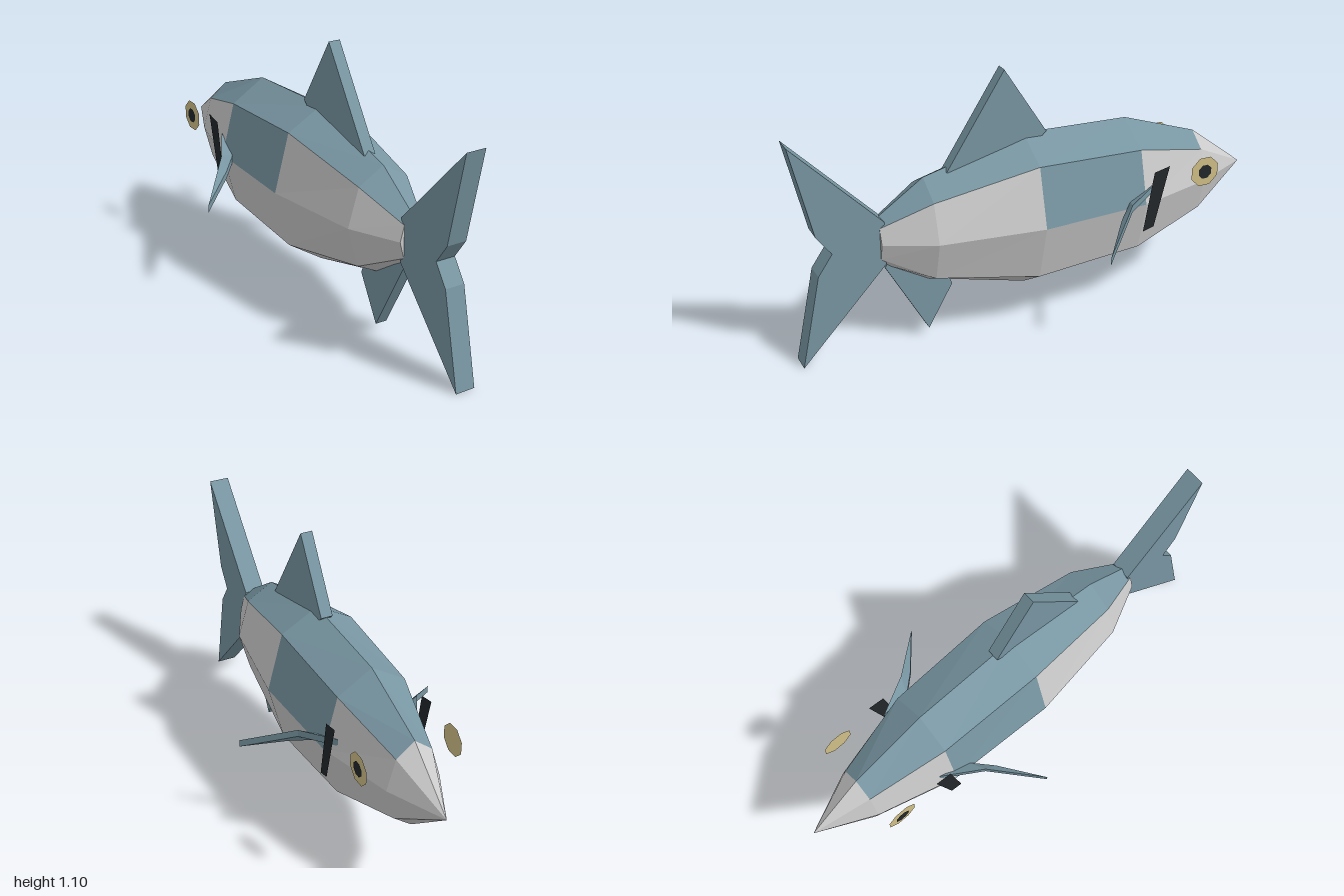
import * as THREE from 'three';

const GREY = 0xcccccc, BLUE = 0x7896a2, BLACK = 0x22272b, GOLD = 0xd2c088;
const MID = 0.475;

function material(color, side = THREE.FrontSide) {
  return new THREE.MeshStandardMaterial({ color, side, flatShading: true });
}

function part(name, geometry, mat) {
  const mesh = new THREE.Mesh(geometry, mat);
  mesh.name = name;
  return mesh;
}

function fromTriangles(points) {
  const g = new THREE.BufferGeometry();
  g.setAttribute('position', new THREE.Float32BufferAttribute(points.flat(), 3));
  g.computeVertexNormals();
  return g;
}

// Outline given as [z, y] pairs
function outline(pairs) {
  return new THREE.Shape(pairs.map(([z, y]) => new THREE.Vector2(z, y)));
}

// Flat slab standing in the z-y plane, centred on x = 0
function slab(pairs, thickness) {
  const g = new THREE.ExtrudeGeometry(outline(pairs), { depth: thickness, bevelEnabled: false });
  return g.translate(0, 0, -thickness / 2).rotateY(-Math.PI / 2);
}

// Eight-sided body lofted nose to tail: blue back, pale flanks and belly
function addBody(group) {
  // z, top y, upper corner y, lower corner y, bottom y, side x, corner x
  const stations = [
    [-1, MID, MID, MID, MID, 0, 0],
    [-0.76, 0.665, 0.605, 0.335, 0.28, 0.112, 0.075],
    [-0.43, 0.785, 0.695, 0.255, 0.168, 0.2, 0.143],
    [0.03, 0.805, 0.718, 0.23, 0.13, 0.218, 0.154],
    [0.46, 0.7, 0.634, 0.306, 0.25, 0.157, 0.11],
    [0.66, 0.565, 0.54, 0.405, 0.37, 0.06, 0.042],
  ];
  const rings = stations.map(([z, top, up, low, bottom, side, corner]) => [
    [0, top, z], [corner, up, z], [side, MID, z], [corner, low, z],
    [0, bottom, z], [-corner, low, z], [-side, MID, z], [-corner, up, z],
  ]);
  const pale = [], blue = [];
  for (let i = 0; i < rings.length - 1; i++) {
    for (let j = 0; j < 8; j++) {
      const k = (j + 1) % 8;
      const a = rings[i][j], b = rings[i][k], c = rings[i + 1][k], d = rings[i + 1][j];
      const onBack = (j === 0 || j === 7) && i > 0;
      const flankPatch = (j === 1 || j === 6) && i === 2;
      const target = onBack || flankPatch ? blue : pale;
      target.push(a, d, c);
      if (i > 0) target.push(a, c, b);
    }
  }
  // Closing face at the tail root
  const last = rings[rings.length - 1];
  for (let j = 1; j < 7; j++) pale.push(last[0], last[j + 1], last[j]);
  group.add(part('body', fromTriangles(pale), material(GREY)));
  group.add(part('back', fromTriangles(blue), material(BLUE)));
}

// Swept-back side fin: a bent thin plate with an edge all round
function sideFin(side) {
  const top = [
    [0.17, 0.55, -0.49], [0.26, 0.52, -0.33], [0.425, 0.405, -0.145],
    [0.265, 0.47, -0.28], [0.19, 0.5, -0.36],
  ].map(([x, y, z]) => [x * side, y, z]);
  const under = top.map(([x, y, z]) => [x, y - 0.03, z]);
  const tris = [];
  const add = (a, b, c) => tris.push(...(side > 0 ? [a, b, c] : [a, c, b]));
  for (const [i, j, k] of [[0, 1, 4], [1, 3, 4], [1, 2, 3]]) {
    add(top[i], top[k], top[j]);
    add(under[i], under[j], under[k]);
  }
  for (let i = 0; i < 5; i++) {
    const j = (i + 1) % 5;
    add(top[i], top[j], under[j]);
    add(top[i], under[j], under[i]);
  }
  return fromTriangles(tris);
}

// Flat octagon facing outwards
function disc(radius, x, side) {
  return new THREE.CircleGeometry(radius, 8, Math.PI / 8)
    .rotateY(side * Math.PI / 2)
    .translate(side * x, 0.567, -0.703);
}

export function createModel() {
  const group = new THREE.Group();
  group.name = 'fish';
  addBody(group);

  // Fins along the centre line
  const tail = [[0.64, 0.565], [1, 0.945], [0.915, 0.56], [0.855, MID], [0.915, 0.39], [1, 0], [0.64, 0.38]];
  const dorsal = [[-0.06, 0.805], [0.12, 1.095], [0.37, 0.71], [0.3, 0.68], [0, 0.75]];
  const anal = [[0.36, 0.215], [0.465, 0.033], [0.64, 0.355], [0.6, 0.42], [0.4, 0.32]];
  group.add(part('tailFin', slab(tail, 0.084), material(BLUE)));
  group.add(part('dorsalFin', slab(dorsal, 0.05), material(BLUE)));
  group.add(part('analFin', slab(anal, 0.05), material(BLUE)));

  // Paired parts
  const gill = [[-0.46, 0.615], [-0.53, 0.63], [-0.465, 0.37], [-0.415, 0.357]];
  for (const side of [1, -1]) {
    const label = side > 0 ? 'left' : 'right';
    group.add(part(label + 'SideFin', sideFin(side), material(BLUE)));
    const slit = new THREE.ShapeGeometry(outline(gill)).rotateY(-Math.PI / 2).translate(side * 0.205, 0, 0);
    group.add(part(label + 'Gill', slit, material(BLACK, THREE.DoubleSide)));
    group.add(part(label + 'Eye', disc(0.067, 0.198, side), material(GOLD, THREE.DoubleSide)));
    group.add(part(label + 'Pupil', disc(0.032, 0.201, side), material(BLACK)));
  }
  return group;
}
